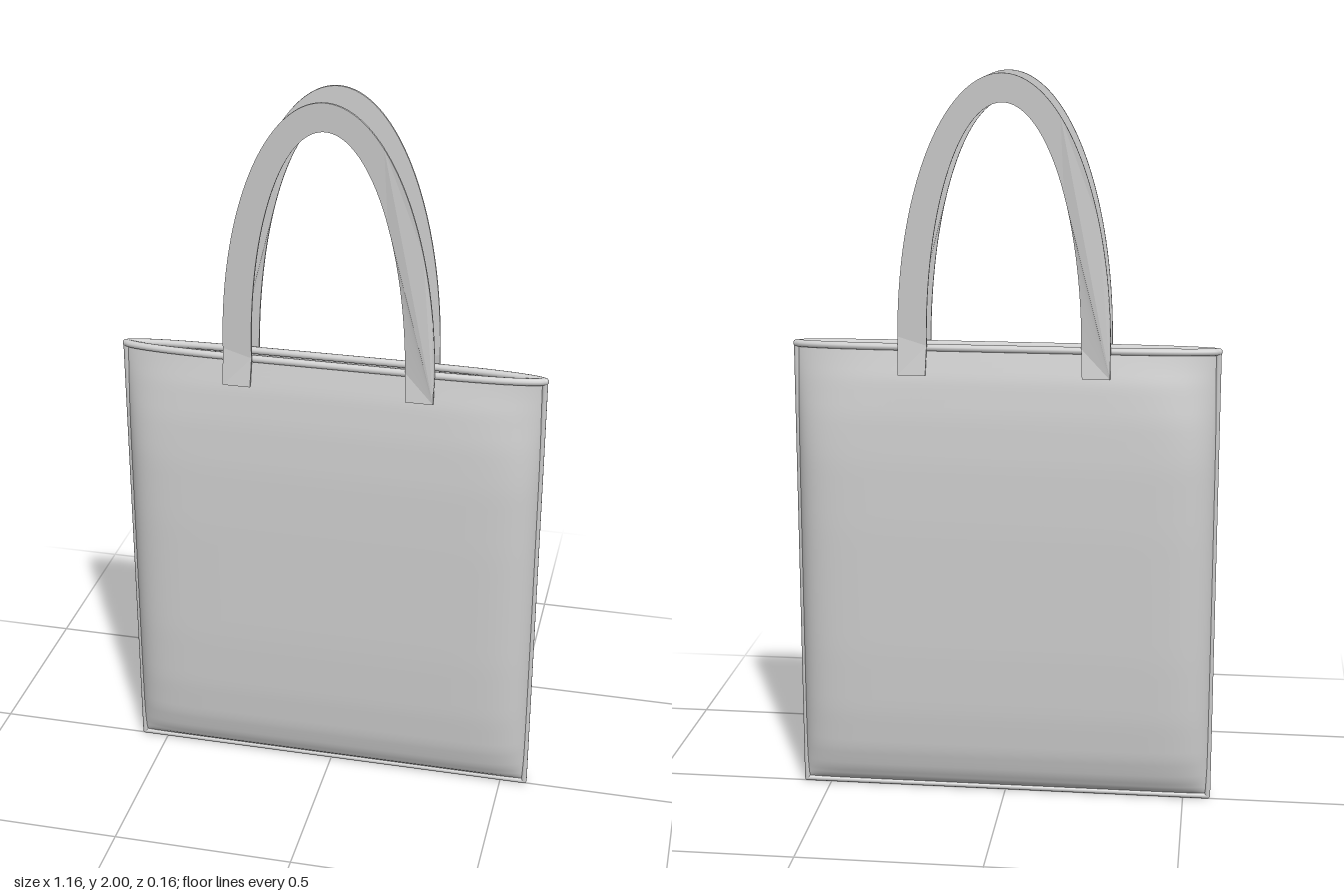
import * as THREE from 'three';

const HALF_W = 0.569, BOTTOM = 0.012, TOP = 1.272;

// Half depth of the stuffed bag by height
const profile = [
  [0, 0], [0.012, 0.018], [0.04, 0.036], [0.09, 0.052], [0.18, 0.063], [0.32, 0.069],
  [0.6, 0.07], [0.75, 0.066], [0.85, 0.058], [0.93, 0.046], [1, 0.027],
];

function halfDepth(u, v) {
  let i = 0;
  while (i < profile.length - 2 && v > profile[i + 1][0]) i++;
  const [v0, d0] = profile[i], [v1, d1] = profile[i + 1];
  const d = THREE.MathUtils.lerp(d0, d1, (v - v0) / (v1 - v0));
  const power = THREE.MathUtils.lerp(12, 5, THREE.MathUtils.smoothstep(v, 0.75, 1));
  return d * Math.pow(Math.max(0, 1 - Math.pow(Math.abs(u), power)), 0.7);
}

// One puffed cloth panel; rows and columns crowd towards the seams
function panelGeometry() {
  const geo = new THREE.PlaneGeometry(2, 1, 56, 56);
  const p = geo.attributes.position;
  for (let i = 0; i < p.count; i++) {
    const u = Math.sin(p.getX(i) * Math.PI / 2);
    const v = 0.5 + 0.5 * Math.sin(p.getY(i) * Math.PI);
    p.setXYZ(i, u * HALF_W, THREE.MathUtils.lerp(BOTTOM, TOP, v), halfDepth(u, v));
  }
  geo.computeVertexNormals();
  return geo;
}

// Rolled hem following the top edge of a panel
function hemGeometry() {
  const pts = [];
  for (let i = 0; i <= 32; i++) {
    const u = Math.sin((i / 16 - 1) * Math.PI / 2);
    pts.push(new THREE.Vector3(u * HALF_W, TOP, halfDepth(u, 1)));
  }
  return new THREE.TubeGeometry(new THREE.CatmullRomCurve3(pts), 80, 0.01, 10);
}

// Flat arched strap: leans outward above the rim, lies on the cloth below it
function strapGeometry() {
  const rim = 1.28, foot = 1.2;
  const s = new THREE.Shape();
  s.moveTo(0.285, foot);
  s.lineTo(0.285, rim);
  s.absellipse(0, rim, 0.285, 0.72, 0, Math.PI, false);
  s.lineTo(-0.285, foot);
  s.lineTo(-0.21, foot);
  s.lineTo(-0.207, rim);
  s.absellipse(0, rim, 0.207, 0.645, Math.PI, 0, true);
  s.lineTo(0.21, foot);
  s.closePath();
  const geo = new THREE.ExtrudeGeometry(s, { depth: 0.007, bevelEnabled: false, curveSegments: 48 });
  const p = geo.attributes.position;
  for (let i = 0; i < p.count; i++) {
    const y = p.getY(i);
    const lean = y > rim ? 0.037 + (y - rim) / 0.72 * 0.036 : 0.037 + (rim - y) / 0.08 * 0.011;
    p.setZ(i, p.getZ(i) + lean);
  }
  geo.computeVertexNormals();
  return geo;
}

export function createModel() {
  const bag = new THREE.Group();
  bag.name = 'toteBag';
  const cloth = new THREE.MeshStandardMaterial({ color: 0xcccccc, side: THREE.DoubleSide });
  cloth.name = 'greyCloth';

  const add = (parent, name, geo) => {
    const mesh = new THREE.Mesh(geo, cloth);
    mesh.name = name;
    parent.add(mesh);
    return mesh;
  };

  // Front and back halves: panel, hem and strap
  const panel = panelGeometry(), hem = hemGeometry(), strap = strapGeometry();
  for (const side of ['front', 'back']) {
    const half = new THREE.Group();
    half.name = side + 'Half';
    add(half, side + 'Panel', panel);
    add(half, side + 'Hem', hem);
    add(half, side + 'Handle', strap);
    if (side === 'back') half.rotation.y = Math.PI;
    bag.add(half);
  }

  // Piped seams down both sides and along the bottom
  const sideSeam = new THREE.CylinderGeometry(0.008, 0.008, TOP - 0.008, 10);
  for (const [name, s] of [['leftSeam', 1], ['rightSeam', -1]]) {
    add(bag, name, sideSeam).position.set(s * HALF_W, (TOP + 0.008) / 2, 0);
    const corner = add(bag, name + 'Corner', new THREE.SphereGeometry(0.008, 10, 8));
    corner.position.set(s * HALF_W, 0.008, 0);
    const rimEnd = add(bag, name + 'RimEnd', new THREE.SphereGeometry(0.01, 10, 8));
    rimEnd.position.set(s * HALF_W, TOP, 0);
  }
  const bottom = add(bag, 'bottomSeam', new THREE.CylinderGeometry(0.008, 0.008, HALF_W * 2, 10));
  bottom.rotation.z = Math.PI / 2;
  bottom.position.y = 0.008;

  return bag;
}
